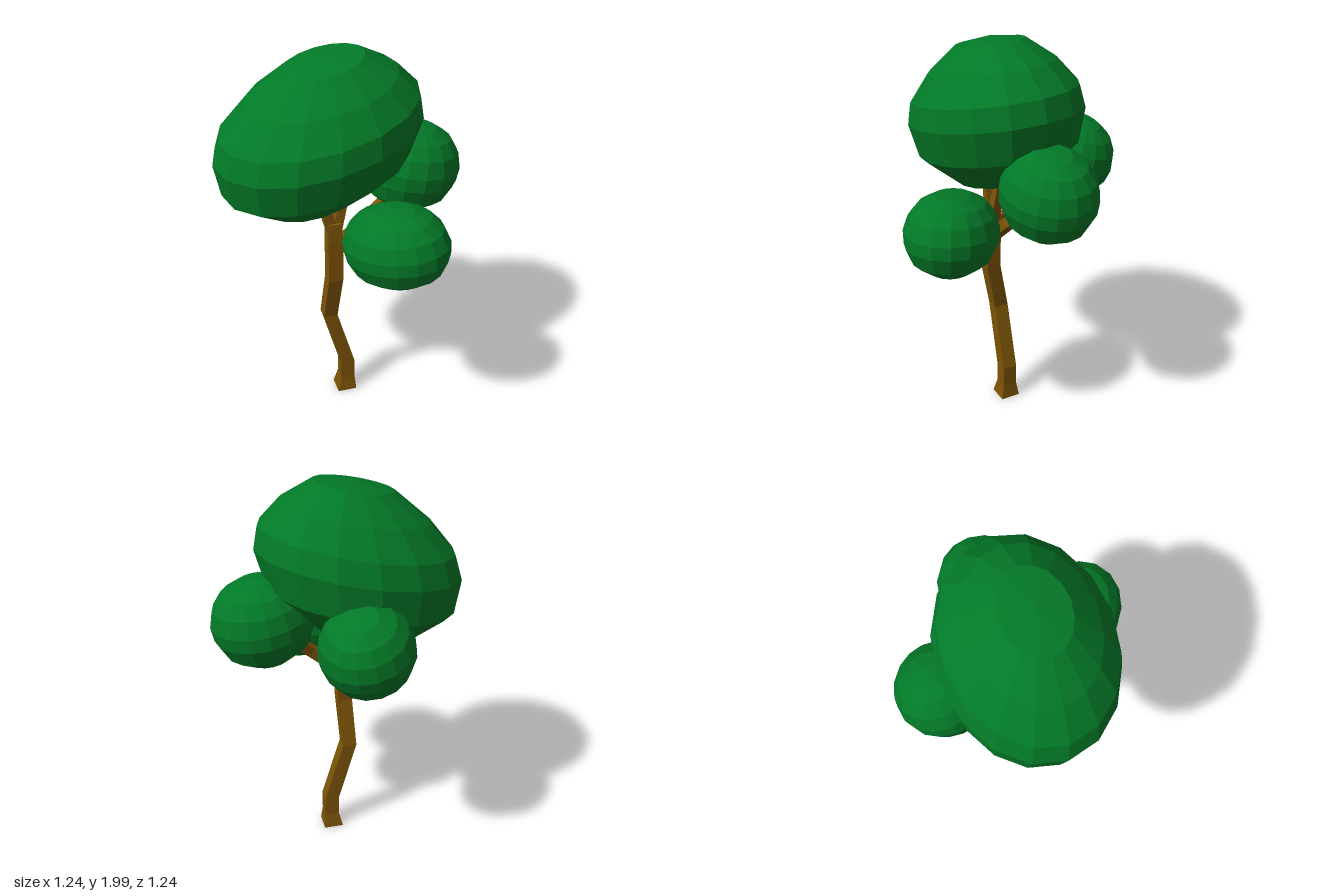
import * as THREE from 'three';

const leaf = new THREE.MeshStandardMaterial({ color: 0x037a28, flatShading: true });
const bark = new THREE.MeshStandardMaterial({ color: 0x7d5306, flatShading: true });
const UP = new THREE.Vector3(0, 1, 0);

// Square tapered limb; each node is [x, y, z, halfWidth].
function limb(name, nodes, upright = false) {
  const pts = nodes.map(n => new THREE.Vector3(n[0], n[1], n[2]));
  const corners = [[1, 1], [1, -1], [-1, -1], [-1, 1]];
  const pos = [], idx = [];
  pts.forEach((p, i) => {
    const dir = pts[Math.min(i + 1, pts.length - 1)].clone().sub(pts[Math.max(i - 1, 0)]).normalize();
    const q = new THREE.Quaternion();
    if (!upright) q.setFromUnitVectors(UP, dir);
    for (const [a, b] of corners) {
      const v = new THREE.Vector3(a * nodes[i][3], 0, b * nodes[i][3]).applyQuaternion(q).add(p);
      pos.push(v.x, v.y, v.z);
    }
  });
  for (let i = 0; i < pts.length - 1; i++) {
    for (let k = 0; k < 4; k++) {
      const a = i * 4 + k, b = i * 4 + (k + 1) % 4;
      idx.push(a, b, b + 4, a, b + 4, a + 4);
    }
  }
  // end caps
  const e = (pts.length - 1) * 4;
  idx.push(0, 2, 1, 0, 3, 2, e, e + 1, e + 2, e, e + 2, e + 3);
  const geo = new THREE.BufferGeometry();
  geo.setAttribute('position', new THREE.Float32BufferAttribute(pos, 3));
  geo.setIndex(idx);
  geo.computeVertexNormals();
  const mesh = new THREE.Mesh(geo, bark);
  mesh.name = name;
  return mesh;
}

// Faceted dome turned from [radius, height] pairs, bottom to top.
function dome(name, profile, center) {
  const geo = new THREE.LatheGeometry(profile.map(p => new THREE.Vector2(...p)), 16);
  const mesh = new THREE.Mesh(geo, leaf);
  mesh.name = name;
  mesh.position.set(...center);
  return mesh;
}

// Large crown: squashed in z, slanted up towards +x and the back, top pushed forward.
function crown() {
  const mesh = dome('mainCrown', [[0, -0.4], [0.25, -0.352], [0.465, -0.18], [0.508, 0],
    [0.48, 0.115], [0.365, 0.245], [0.195, 0.365], [0, 0.392]], [-0.115, 1.59, 0.008]);
  mesh.geometry.scale(1, 1, 0.815);
  mesh.geometry.applyMatrix4(new THREE.Matrix4().set(
    1, 0.05, 0, 0,
    0.2, 1, -0.06, 0,
    0, 0.1, 1, 0,
    0, 0, 0, 1));
  return mesh;
}

// Smaller leaf clump: local x points outward (yaw), then it leans.
function clump(name, center, radii, yaw, leanZ, leanX) {
  const mesh = dome(name, [[0, -0.98], [0.42, -0.92], [0.82, -0.6], [0.98, -0.2], [1, 0.12],
    [0.9, 0.48], [0.7, 0.76], [0.38, 0.95], [0, 1]], center);
  mesh.scale.set(...radii);
  mesh.rotation.set(leanX, yaw, leanZ, 'YZX');
  return mesh;
}

export function createModel() {
  const tree = new THREE.Group();
  tree.name = 'tree';

  // Crooked trunk with a flared foot
  tree.add(limb('trunk', [
    [0.02, 0, 0.018, 0.052], [0.027, 0.08, 0.018, 0.038], [0.027, 0.19, 0.018, 0.038],
    [-0.07, 0.53, 0.018, 0.037], [-0.055, 0.79, 0.07, 0.038],
    [-0.055, 1.03, 0.066, 0.038], [-0.055, 1.12, 0.062, 0.034],
  ], true));

  // Fork inside the main crown
  tree.add(limb('forkLeft', [[-0.045, 1.06, 0.06, 0.025], [-0.01, 1.2, 0.05, 0.022], [0.02, 1.36, 0.04, 0.015]]));
  tree.add(limb('forkRight', [[-0.065, 1.06, 0.06, 0.025], [-0.09, 1.2, 0.06, 0.022], [-0.12, 1.36, 0.06, 0.015]]));

  // Branches carrying the small clumps; the front one springs from the left one
  tree.add(limb('leftBranch', [[-0.05, 0.96, 0.066, 0.032], [0.12, 1.1, 0.055, 0.026], [0.32, 1.27, 0.0, 0.018]]));
  tree.add(limb('frontBranch', [[0.03, 1.02, 0.06, 0.019], [0.09, 1.013, 0.2, 0.018], [0.15, 1.03, 0.34, 0.016]]));
  tree.add(limb('backBranch', [[-0.055, 1.04, 0.06, 0.024], [-0.05, 1.1, -0.25, 0.019], [-0.05, 1.22, -0.37, 0.016]]));

  // Foliage
  tree.add(crown());
  tree.add(clump('frontClump', [0.163, 1.137, 0.383], [0.266, 0.204, 0.224], -Math.PI / 4, 0.12, 0));
  tree.add(clump('leftClump', [0.368, 1.335, -0.022], [0.252, 0.228, 0.232], 0, -0.15, 0));
  tree.add(clump('backClump', [-0.055, 1.315, -0.388], [0.231, 0.218, 0.23], Math.PI / 2, -0.28, 0.25));
  return tree;
}
